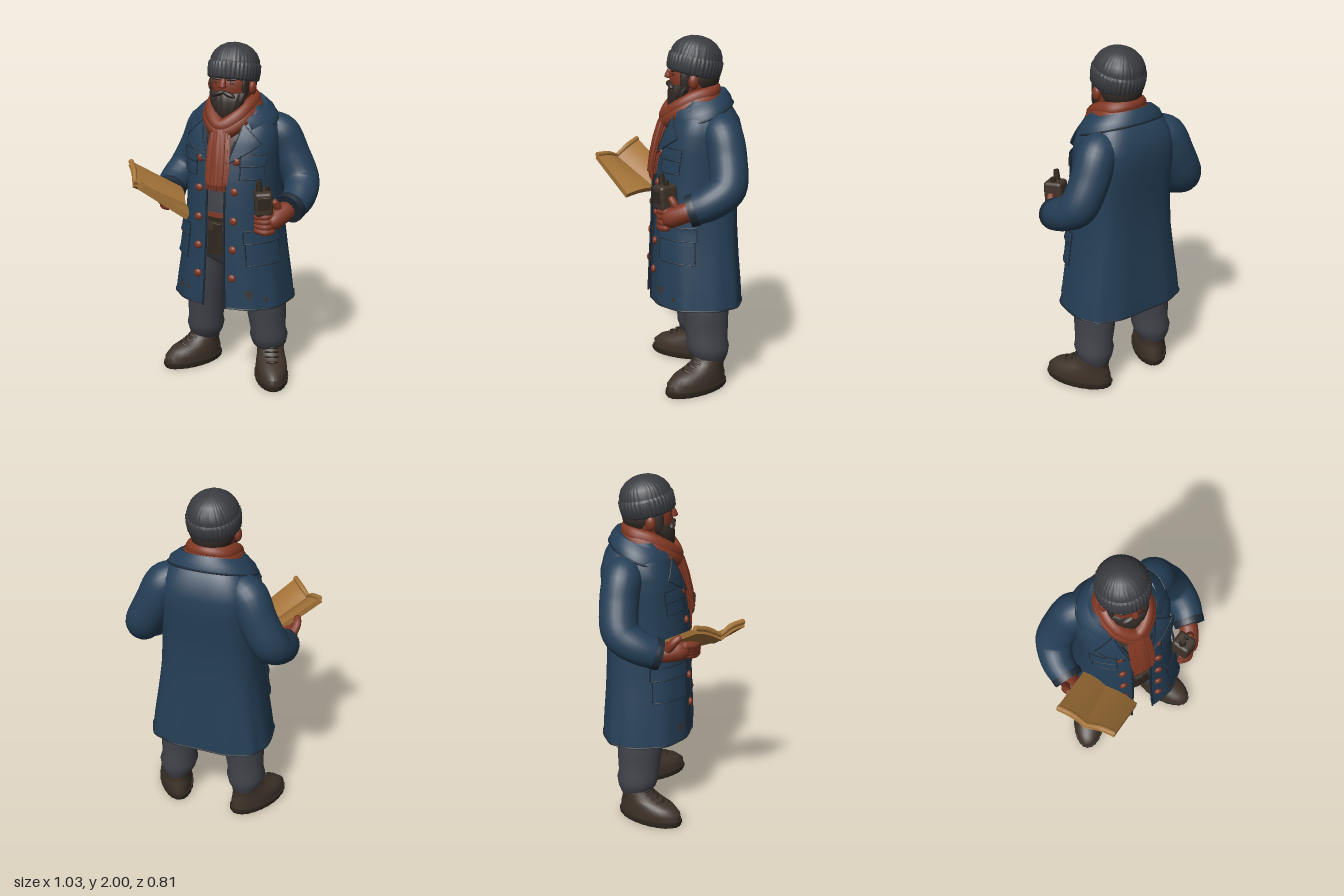
import * as THREE from 'three';
import { mergeGeometries, toCreasedNormals } from 'three/addons/utils/BufferGeometryUtils.js';
import { RoundedBoxGeometry } from 'three/addons/geometries/RoundedBoxGeometry.js';

const V = (x, y, z) => new THREE.Vector3(x, y, z);
const lerp = THREE.MathUtils.lerp;
const MID = 0.02; // the figure's middle line in x

function paint(name, color, side = THREE.FrontSide) {
  const m = new THREE.MeshStandardMaterial({ color, side });
  m.name = name;
  return m;
}

// Skin a surface over a stack of point rings.
function loft(rings, closed = true, caps = closed) {
  const n = rings[0].length, pos = [], idx = [];
  rings.forEach(r => r.forEach(p => pos.push(p.x, p.y, p.z)));
  const cols = closed ? n : n - 1;
  for (let i = 0; i < rings.length - 1; i++) for (let j = 0; j < cols; j++) {
    const a = i * n + j, b = i * n + (j + 1) % n;
    idx.push(a, b, a + n, b, b + n, a + n);
  }
  if (caps) [0, rings.length - 1].forEach(i => {
    const c = rings[i].reduce((s, p) => s.add(p), V(0, 0, 0)).divideScalar(n), k = pos.length / 3;
    pos.push(c.x, c.y, c.z);
    for (let j = 0; j < n; j++) {
      const a = i * n + j, b = i * n + (j + 1) % n;
      idx.push(k, i ? a : b, i ? b : a);
    }
  });
  const g = new THREE.BufferGeometry();
  g.setAttribute('position', new THREE.Float32BufferAttribute(pos, 3));
  g.setIndex(idx);
  return toCreasedNormals(g, 0.9);
}

// Stack of horizontal ovals [y, cx, cz, rx, rz], optionally ribbed.
function ovals(rows, n = 28, ribs = 0, depth = 0) {
  return loft(rows.map(([y, cx, cz, rx, rz]) => Array.from({ length: n }, (_, j) => {
    const t = j / n * Math.PI * 2, k = 1 + depth * Math.cos(ribs * t);
    return V(cx + Math.sin(t) * rx * k, y, cz + Math.cos(t) * rz * k);
  })));
}

// Tube with varying radius along a smooth path.
function limb(points, radii, round = false, n = 16) {
  const curve = new THREE.CatmullRomCurve3(points), segs = points.length * 5;
  const f = curve.computeFrenetFrames(segs), rings = [];
  for (let i = 0; i <= segs; i++) {
    const u = i / segs, t = curve.getUtoTmapping(u) * (radii.length - 1);
    const k = Math.min(Math.floor(t), radii.length - 2);
    let r = lerp(radii[k], radii[k + 1], t - k);
    if (round) r *= Math.sqrt(Math.max(0.04, 1 - (Math.max(0, Math.abs(2 * u - 1) - 0.7) / 0.3) ** 2));
    const p = curve.getPointAt(u);
    rings.push(Array.from({ length: n }, (_, j) => {
      const a = j / n * Math.PI * 2;
      return p.clone().addScaledVector(f.normals[i], r * Math.cos(a)).addScaledVector(f.binormals[i], r * Math.sin(a));
    }));
  }
  return loft(rings);
}

const tube = (pts, r, closed = false, segs = 40) =>
  new THREE.TubeGeometry(new THREE.CatmullRomCurve3(pts, closed), segs, r, 6, closed);

const ball = (x, y, z, rx, ry, rz) => new THREE.SphereGeometry(1, 28, 20).scale(rx, ry, rz).translate(x, y, z);

// Coat profile: [y, half width, front z, back z, half opening]
const COAT = [
  [0.5, 0.352, 0.12, -0.4, 0.07], [0.62, 0.336, 0.115, -0.395, 0.065], [0.78, 0.311, 0.108, -0.383, 0.06],
  [0.95, 0.286, 0.1, -0.375, 0.055], [1.1, 0.275, 0.096, -0.374, 0.055], [1.25, 0.268, 0.085, -0.382, 0.055],
  [1.38, 0.27, 0.062, -0.398, 0.06], [1.48, 0.27, 0.035, -0.4, 0.09], [1.55, 0.256, 0.005, -0.382, 0.115],
  [1.61, 0.218, -0.025, -0.347, 0.13], [1.66, 0.165, -0.05, -0.305, 0.13]];
function coatAt(y) {
  let i = 0;
  while (i < COAT.length - 2 && y > COAT[i + 1][0]) i++;
  const t = (y - COAT[i][0]) / (COAT[i + 1][0] - COAT[i][0]);
  return COAT[i].map((v, k) => lerp(v, COAT[i + 1][k], t));
}
// Point on the coat; angle 0 is the front, out is the offset from the cloth.
function coatPoint(a, y, out = 0) {
  const [, rx, zf, zb] = coatAt(y), s = Math.sin(a), c = Math.cos(a), p = c > 0 ? 2 / 2.2 : 2 / 3.2;
  const fold = 1 + 0.012 * Math.cos(a * 11) * THREE.MathUtils.clamp((1 - y) / 0.5, 0, 1);
  const rz = (c > 0 ? zf + 0.15 : -0.15 - zb) + out;
  return V(MID + Math.sign(s) * Math.abs(s) ** p * (rx + out) * fold, y, -0.15 + Math.sign(c) * Math.abs(c) ** p * rz * fold);
}
const angleFor = (x, y) => Math.asin(Math.min(1, x / coatAt(y)[1]) ** 1.1);
function coatShell(out, top) {
  return loft(COAT.filter(r => r[0] <= top).map(([y, , , , w]) => {
    const a = angleFor(w, y);
    return Array.from({ length: 97 }, (_, j) => coatPoint(lerp(a, Math.PI * 2 - a, j / 96), y, out));
  }), false);
}
// Cloth panel on the coat between four corners [angle, y], bottom pair first.
function panel(c, side, out) {
  const rings = [];
  for (let i = 0; i <= 8; i++) rings.push(Array.from({ length: 9 }, (_, j) => {
    const at = k => lerp(lerp(c[0][k], c[1][k], j / 8), lerp(c[3][k], c[2][k], j / 8), i / 8);
    return coatPoint(side * at(0), at(1), out);
  }));
  const rim = [...rings[0], ...rings.slice(1, -1).map(r => r[8]), ...rings[8].slice().reverse(),
    ...rings.slice(1, -1).map(r => r[0]).reverse()];
  return { cloth: loft(rings, false), rim: tube(rim, 0.0035, true, 64) };
}
const patch = (a0, a1, y0, y1) => [[a0, y0], [a1, y0], [a1, y1], [a0, y1]];
// Ragged spot lying on the coat
function spot(angle, y, w, h) {
  return loft([1, 0.5].map(k => Array.from({ length: 20 }, (_, j) => {
    const t = j / 20 * Math.PI * 2, r = k * (1 + 0.25 * Math.cos(3 * t + angle * 9));
    return coatPoint(angle + Math.cos(t) * w * r, y + Math.sin(t) * h * r, 0.004);
  })));
}

export function createModel() {
  const coat = paint('blue coat cloth', 0x253f57, THREE.DoubleSide);
  const seam = paint('dark seam blue', 0x1e2a37, THREE.DoubleSide);
  const grey = paint('grey trouser cloth', 0x42434b, THREE.DoubleSide);
  const wool = paint('charcoal wool', 0x3b3c41);
  const red = paint('rust red wool', 0x823823);
  const skin = paint('ruddy skin', 0x803724);
  const hair = paint('dark brown hair', 0x332a25);
  const leather = paint('boot leather', 0x3f332a, THREE.DoubleSide);
  const dark = paint('dark brown', 0x30281f);
  const paper = paint('tan paper', 0xa57439, THREE.DoubleSide);

  const model = new THREE.Group();
  model.name = 'travellerFigure';
  const add = (name, geo, mat, parent = model) => {
    const m = new THREE.Mesh(geo, mat);
    m.name = name;
    parent.add(m);
    return m;
  };

  // Clothes under the coat
  add('vest', ovals([[1.04, MID, -0.14, 0.23, 0.2], [1.25, MID, -0.15, 0.23, 0.2], [1.4, MID, -0.16, 0.22, 0.18]]), grey);
  add('shirt', ovals([[1.39, MID, -0.16, 0.215, 0.178], [1.48, MID, -0.165, 0.2, 0.165], [1.55, MID, -0.17, 0.17, 0.14], [1.62, MID, -0.17, 0.1, 0.1]]), leather);
  add('shirtHem', ovals([[0.8, MID, -0.14, 0.23, 0.2], [1.05, MID, -0.14, 0.232, 0.204]]), dark);
  add('belt', ovals([[0.95, MID, -0.14, 0.235, 0.212], [1.0, MID, -0.14, 0.235, 0.212]]), leather);
  add('sash', ovals([[1.03, MID, -0.14, 0.235, 0.21], [1.055, MID, -0.14, 0.235, 0.21]]), red);
  add('buckle', new RoundedBoxGeometry(0.05, 0.045, 0.015, 2, 0.005).translate(MID, 0.975, 0.073), dark);
  add('trouserSeat', ovals([[0.68, MID, -0.18, 0.1, 0.1], [0.74, MID, -0.17, 0.22, 0.16], [0.88, MID, -0.16, 0.23, 0.18]]), grey);

  // Coat shell, lining and edging
  add('coat', coatShell(0, 2), coat);
  add('coatLining', coatShell(-0.012, 1.4), grey);
  const hem = Array.from({ length: 49 }, (_, j) => coatPoint(lerp(0.2, Math.PI * 2 - 0.2, j / 48), 0.505));
  add('hemEdge', tube(hem, 0.006, false, 120), seam);
  for (const [a, y, w, h] of [[-0.75, 0.585, 0.06, 0.025], [-0.5, 0.59, 0.035, 0.02], [0.6, 0.595, 0.06, 0.025], [0.95, 0.56, 0.035, 0.015]])
    add('mudStain', spot(a, y, w, h), leather);

  const fit = (s, x) => MID + s * x;
  for (const s of [-1, 1]) {
    const tag = s > 0 ? 'left' : 'right';
    add(tag + 'CoatEdge', tube(COAT.slice(0, 8).map(r => coatPoint(s * angleFor(r[4], r[0]), r[0], 0.003)), 0.006), seam);

    // Lapels, pockets and flaps
    const lapel = [[0.06, 1.36], [0.075, 1.365], [0.215, 1.47], [0.11, 1.58]].map(([x, y]) => [angleFor(x, y), y]);
    const panels = {
      Lapel: [lapel, 0.018],
      ChestPocket: [patch(0.47, 1.04, 1.27, 1.38), 0.009],
      ChestFlap: [patch(0.45, 1.07, 1.345, 1.41), 0.016],
      HipPocket: [patch(0.58, 1.42, 0.77, 0.95), 0.012],
      HipFlap: [patch(0.55, 1.46, 0.9, 0.975), 0.018]
    };
    for (const [name, [corners, out]] of Object.entries(panels)) {
      const p = panel(corners, s, out);
      add(tag + name, p.cloth, coat);
      add(tag + name + 'Stitching', p.rim, seam);
    }

    // Buttons
    for (const y of [0.69, 0.86, 1.03, 1.2, 1.37]) {
      const p = coatPoint(s * angleFor(0.107, y), y, 0.008);
      add(tag + 'Button', ball(p.x, p.y, p.z, 0.023, 0.023, 0.014), red);
    }

    // Sleeve and cuff
    const arm = [[0.15, 1.53, -0.23], [0.235, 1.485, -0.262], [0.297, 1.36, -0.28], [0.37, 1.215, -0.265], [0.4, 1.145, -0.165], [0.385, 1.105, -0.075]];
    add(tag + 'Sleeve', limb(arm.map(p => V(fit(s, p[0]), p[1], p[2])), [0.085, 0.11, 0.108, 0.106, 0.093, 0.085], false, 24), coat);
    add(tag + 'Cuff', limb([V(fit(s, 0.388), 1.113, -0.095), V(fit(s, 0.385), 1.106, -0.075), V(fit(s, 0.382), 1.1, -0.055)], [0.09, 0.09, 0.087], false, 24), seam);

    // Trouser leg gathered above the boot
    const leg = [[0.16, 0.215, -0.21, 0.075, 0.085], [0.2, 0.215, -0.2, 0.1, 0.11], [0.25, 0.213, -0.195, 0.112, 0.122], [0.29, 0.21, -0.19, 0.103, 0.118],
      [0.4, 0.2, -0.185, 0.113, 0.128], [0.55, 0.19, -0.18, 0.12, 0.135], [0.8, 0.13, -0.17, 0.12, 0.14]];
    add(tag + 'Leg', ovals(leg.map(r => [r[0], fit(s, r[1]), ...r.slice(2)])), grey);

    // Boot, turned outwards
    const boot = new THREE.Group();
    boot.name = tag + 'Boot';
    boot.position.set(fit(s, 0.22), 0, -0.205);
    boot.rotation.y = s * 0.5;
    model.add(boot);
    add('bootUpper', ovals([[0.03, 0, 0.095, 0.09, 0.195], [0.07, 0, 0.095, 0.094, 0.196], [0.105, 0, 0.08, 0.09, 0.172], [0.13, 0, 0.045, 0.084, 0.132],
      [0.16, 0, 0.01, 0.08, 0.1], [0.205, 0, -0.005, 0.084, 0.096], [0.22, 0, -0.005, 0.076, 0.088]]), leather, boot);
    add('sole', ovals([[0, 0, 0.095, 0.094, 0.196], [0.015, 0, 0.095, 0.1, 0.204], [0.035, 0, 0.095, 0.1, 0.204]], 96, 24, 0.012), dark, boot);
    const laces = [[0.125, 0.178], [0.145, 0.142], [0.165, 0.114], [0.185, 0.102]].map(([y, z]) =>
      tube([V(-0.04, y, z - 0.02), V(0, y + 0.012, z + 0.003), V(0.04, y, z - 0.02)], 0.007, false, 10));
    add('laces', mergeGeometries(laces), dark, boot);
  }

  // Turned-down collar, high at the nape
  const collarRing = (rx, back, front, yBack, yFront) => Array.from({ length: 41 }, (_, j) => {
    const a = lerp(0.75, Math.PI * 2 - 0.75, j / 40), k = (1 - Math.cos(a)) / 2;
    return V(MID + Math.sin(a) * rx, lerp(yFront, yBack, k), lerp(front, back, k));
  });
  const collar = [collarRing(0.25, -0.352, 0.025, 1.635, 1.5), collarRing(0.235, -0.342, 0.035, 1.67, 1.545),
    collarRing(0.185, -0.315, 0.025, 1.705, 1.59), collarRing(0.15, -0.285, 0, 1.69, 1.57)];
  add('collar', loft(collar, false), coat);
  add('collarEdge', tube(collar[0], 0.006, false, 60), seam);

  // Scarf: two wraps and a hanging tail
  const wrap = (dy, w) => [[0, 1.685, -0.245], [w * 0.8, 1.67, -0.21], [w, 1.645, -0.12], [w * 0.75, 1.59, -0.03], [0, 1.535, 0.02],
    [-w * 0.75, 1.59, -0.03], [-w, 1.645, -0.12], [-w * 0.8, 1.67, -0.21]].map(p => V(MID + p[0], p[1] + dy, p[2]));
  for (const [dy, w, r] of [[0.02, 0.11, 0.042], [-0.015, 0.122, 0.045]])
    add('scarfWrap', new THREE.TubeGeometry(new THREE.CatmullRomCurve3(wrap(dy, w), true), 64, r, 12, true), red);
  add('scarfTail', ovals([[1.24, 0.027, 0.1, 0.065, 0.028], [1.34, 0.028, 0.085, 0.07, 0.031], [1.44, 0.025, 0.062, 0.066, 0.032],
    [1.52, 0.022, 0.035, 0.058, 0.034], [1.58, 0.02, 0.01, 0.05, 0.03]], 72, 18, 0.06), red);
  const fringe = Array.from({ length: 7 }, (_, i) =>
    new THREE.CylinderGeometry(0.01, 0.007, 0.05, 6).translate(-0.027 + i * 0.018, 1.23 - (i % 2) * 0.006, 0.108));
  add('scarfFringe', mergeGeometries(fringe), red);

  // Head and face
  add('neck', new THREE.CylinderGeometry(0.085, 0.1, 0.18, 20).translate(MID, 1.62, -0.14), skin);
  add('head', ball(MID, 1.765, -0.125, 0.117, 0.145, 0.127), skin);
  add('backHair', ball(MID, 1.775, -0.165, 0.12, 0.105, 0.115), hair);
  add('nose', limb([V(MID, 1.825, -0.01), V(MID, 1.79, 0.006), V(MID, 1.766, 0.01)], [0.015, 0.019, 0.024], true), skin);
  add('beard', ovals([[1.575, MID, -0.025, 0.022, 0.018], [1.6, MID, -0.033, 0.055, 0.042], [1.645, MID, -0.045, 0.085, 0.057],
    [1.69, MID, -0.057, 0.102, 0.068], [1.73, MID, -0.07, 0.113, 0.068], [1.745, MID, -0.085, 0.11, 0.06]], 64, 16, 0.03), hair);
  for (const s of [-1, 1]) {
    add('moustache', ball(0, 0, 0, 0.042, 0.015, 0.02).rotateZ(-s * 0.35).translate(fit(s, 0.033), 1.733, -0.002), hair);
    add('sideburn', ball(fit(s, 0.1), 1.77, -0.075, 0.018, 0.07, 0.032), hair);
    add('ear', ball(fit(s, 0.128), 1.76, -0.115, 0.02, 0.04, 0.028), skin);
    add('eye', ball(fit(s, 0.043), 1.793, -0.015, 0.017, 0.006, 0.009), hair);
    add('eyebrow', ball(0, 0, 0, 0.033, 0.008, 0.012).rotateZ(s * 0.15).translate(fit(s, 0.047), 1.815, -0.012), hair);
  }

  // Ribbed knitted cap, tipped back
  const cap = new THREE.Group();
  cap.name = 'knittedCap';
  cap.position.set(MID, 1.83, -0.137);
  cap.rotation.x = -0.22;
  model.add(cap);
  const round = rows => rows.map(([y, r]) => [y, 0, 0, r * 0.95, r]);
  add('capCrown', ovals(round([[0.03, 0.146], [0.08, 0.142], [0.115, 0.124], [0.145, 0.092], [0.163, 0.055], [0.17, 0.015]]), 160, 40, 0.015), wool, cap);
  add('capCuff', ovals(round([[-0.04, 0.14], [-0.03, 0.15], [0.01, 0.154], [0.05, 0.153], [0.062, 0.143]]), 160, 40, 0.018), wool, cap);

  // Left hand gripping a handheld radio
  add('leftPalm', limb([V(0.4, 1.105, -0.08), V(0.38, 1.08, -0.02), V(0.35, 1.055, 0.03), V(0.32, 1.04, 0.06)], [0.055, 0.055, 0.058, 0.05], true), skin);
  for (let i = 0; i < 4; i++)
    add('leftFinger', limb([V(0.365, 1.09 - i * 0.03, 0.04), V(0.325, 1.085 - i * 0.03, 0.085), V(0.255, 1.075 - i * 0.024, 0.085)], [0.021, 0.022, 0.018], true, 10), skin);
  add('leftThumb', limb([V(0.37, 1.1, 0), V(0.365, 1.14, 0.02), V(0.352, 1.175, 0.04)], [0.024, 0.022, 0.017], true, 10), skin);
  const radio = new THREE.Group();
  radio.name = 'radio';
  radio.position.set(0.3, 1.16, 0.06);
  radio.rotation.set(0.08, 0.5, 0);
  model.add(radio);
  add('radioBody', new RoundedBoxGeometry(0.1, 0.14, 0.11, 3, 0.02), leather, radio);
  add('radioFace', new RoundedBoxGeometry(0.065, 0.07, 0.008, 2, 0.003).translate(0, 0.01, 0.055), dark, radio);
  add('radioAerial', new THREE.CylinderGeometry(0.015, 0.02, 0.06, 12).translate(-0.02, 0.095, 0), dark, radio);
  add('radioKnob', new THREE.CylinderGeometry(0.014, 0.014, 0.03, 12).translate(0.025, 0.08, 0), dark, radio);

  // Right hand under the chart
  add('rightPalm', limb([V(-0.36, 1.11, -0.08), V(-0.365, 1.115, -0.02), V(-0.35, 1.12, 0.04), V(-0.325, 1.12, 0.09)], [0.055, 0.055, 0.058, 0.05], true), skin);
  for (let i = 0; i < 4; i++)
    add('rightFinger', limb([V(-0.37 + i * 0.015, 1.155 - i * 0.024, 0.06), V(-0.33 + i * 0.012, 1.145 - i * 0.022, 0.13), V(-0.265 + i * 0.008, 1.12 - i * 0.014, 0.15)], [0.024, 0.024, 0.019], true, 10), skin);
  add('rightThumb', limb([V(-0.39, 1.13, -0.02), V(-0.41, 1.19, 0.02), V(-0.4, 1.225, 0.065)], [0.027, 0.024, 0.018], true, 10), skin);

  // Folded chart: two bowed leaves meeting at a low crease
  const chart = new THREE.Group();
  chart.name = 'chart';
  model.add(chart);
  const crease = [V(-0.19, 1.085, 0.065), V(-0.4, 1.235, 0.27)], under = V(-0.013, -0.026, 0.008);
  const leaves = { innerLeaf: [V(-0.275, 1.145, -0.045), V(-0.505, 1.315, 0.135)], outerLeaf: [V(-0.075, 1.08, 0.235), V(-0.285, 1.27, 0.395)] };
  for (const [name, edge] of Object.entries(leaves)) {
    const rings = Array.from({ length: 7 }, (_, i) => {
      const a = crease[0].clone().lerp(crease[1], i / 6), b = edge[0].clone().lerp(edge[1], i / 6);
      const top = Array.from({ length: 9 }, (_, j) => a.clone().lerp(b, j / 8).addScaledVector(under, -0.4 * Math.sin(j / 8 * Math.PI)));
      return [...top, ...top.map(p => p.clone().add(under)).reverse()];
    });
    add(name, loft(rings), paper, chart);
    add(name + 'Roll', limb([rings[6][0], rings[6][4], rings[6][8]], [0.012, 0.016, 0.015], false, 10), paper, chart);
  }
  return model;
}
